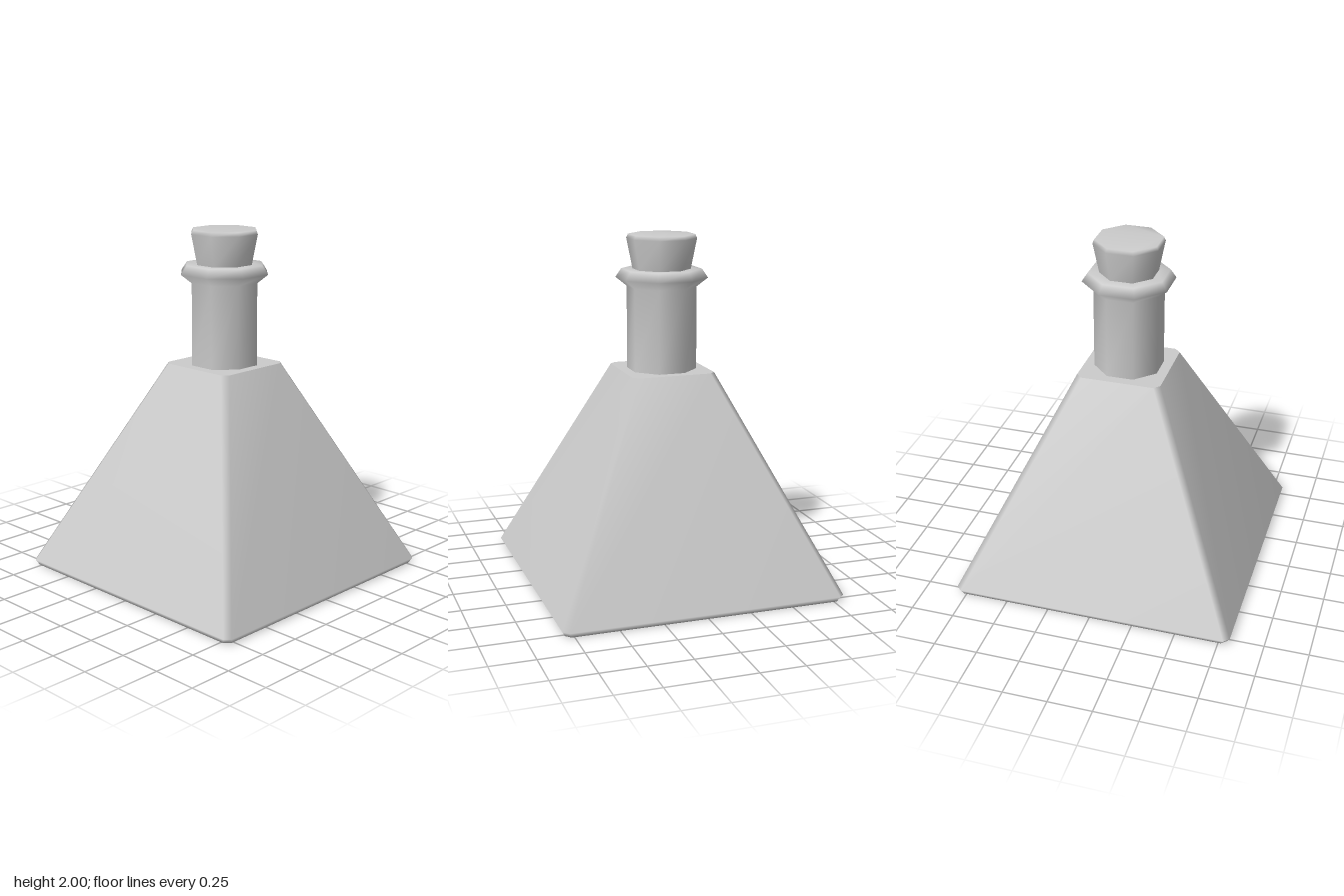
import * as THREE from 'three';

const material = new THREE.MeshStandardMaterial({ color: 0xcccccc });
const OCT = 2 - Math.SQRT2; // corner cut that makes a square a regular octagon

// Eight-sided ring: a square of half-width h with its corners cut by c
function ring(h, c, y) {
  const k = h - c;
  return [[k, h], [h, k], [h, -k], [k, -h], [-k, -h], [-h, -k], [-h, k], [-k, h]]
    .map(([x, z]) => [x, y, z]);
}

// Smooth-shaded skin through rings listed from bottom to top, with optional caps
function loft(name, sections, { bottom = false, top = false } = {}) {
  const positions = sections.flatMap(([h, c, y]) => ring(h, c, y)).flat();
  const index = [];
  for (let s = 0; s < sections.length - 1; s++) {
    for (let i = 0; i < 8; i++) {
      const j = (i + 1) % 8;
      const a = s * 8 + i, b = s * 8 + j;
      index.push(a, b, b + 8, a, b + 8, a + 8);
    }
  }
  const last = (sections.length - 1) * 8;
  for (let i = 1; i < 7; i++) {
    if (bottom) index.push(0, i + 1, i);
    if (top) index.push(last, last + i, last + i + 1);
  }
  const geometry = new THREE.BufferGeometry();
  geometry.setAttribute('position', new THREE.Float32BufferAttribute(positions, 3));
  geometry.setIndex(index);
  geometry.computeVertexNormals();
  const mesh = new THREE.Mesh(geometry, material);
  mesh.name = name;
  return mesh;
}

// Regular octagon section
const oct = (h, y) => [h, h * OCT, y];

export function createModel() {
  const group = new THREE.Group();
  group.name = 'bottle';

  // Pyramid body with a small bevel round the base
  group.add(loft('body', [
    [0.795, 0.03, 0],
    [0.812, 0.032, 0.03],
    [0.243, 0.034, 1.232],
  ], { bottom: true }));

  // Flat shoulder, kept separate for a sharp edge
  group.add(loft('shoulder', [[0.243, 0.034, 1.232]], { top: true }));

  // Neck flowing into the flared lip
  group.add(loft('neckAndLip', [
    oct(0.184, 1.232),
    oct(0.184, 1.705),
    oct(0.243, 1.755),
    oct(0.212, 1.805),
    oct(0.14, 1.805),
  ], { top: true }));

  // Tapered stopper
  group.add(loft('stopper', [
    oct(0.152, 1.8),
    oct(0.185, 1.978),
    oct(0.176, 2),
  ], { top: true }));

  return group;
}
